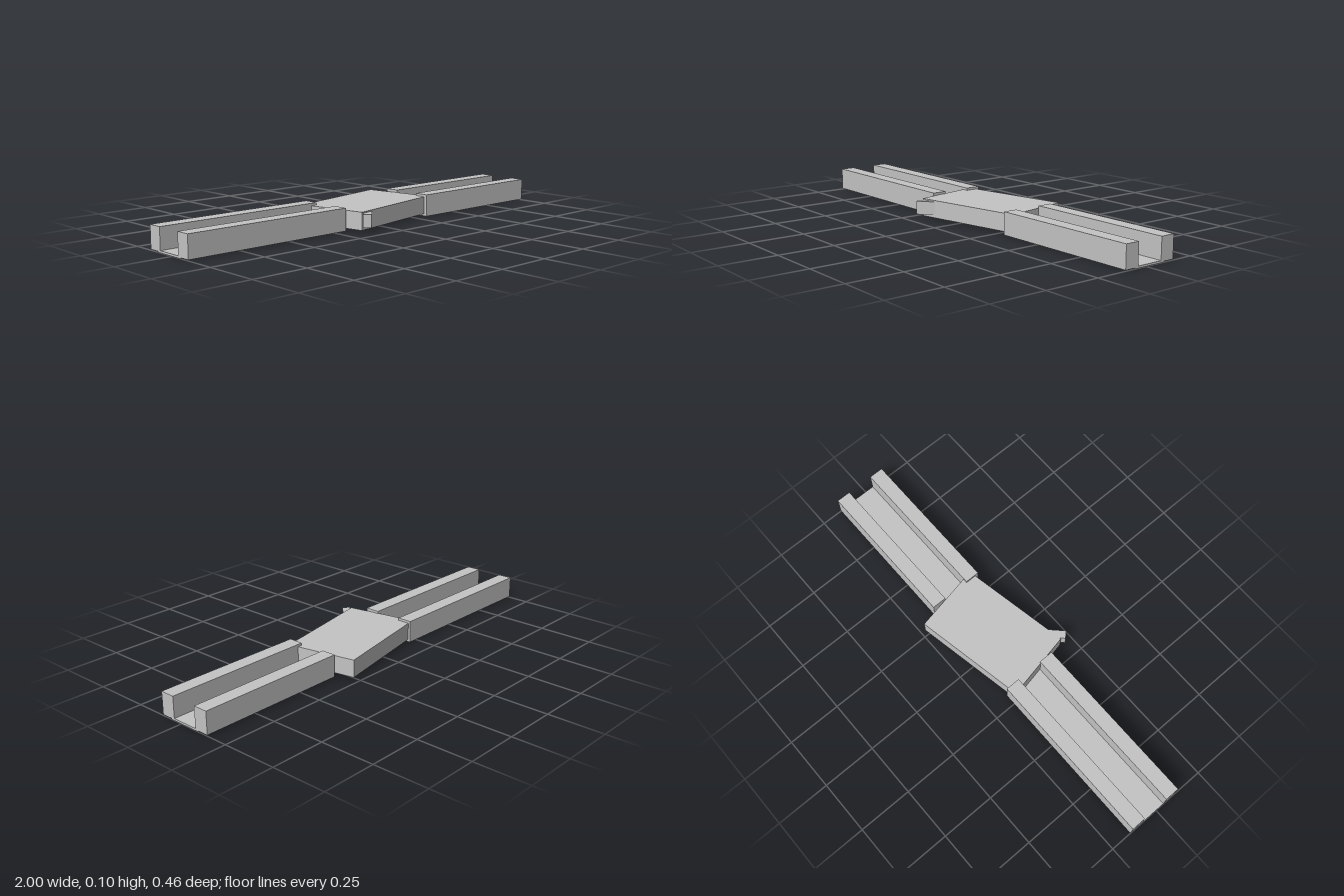
import * as THREE from 'three';

export function createModel() {
  const model = new THREE.Group();
  const grey = new THREE.MeshStandardMaterial({ color: 0xc4c4c4 });
  grey.name = 'light grey';

  // Box given by its min and max on each axis
  const addBox = (name, [x0, x1], [y0, y1], [z0, z1], parent = model) => {
    const mesh = new THREE.Mesh(new THREE.BoxGeometry(x1 - x0, y1 - y0, z1 - z0), grey);
    mesh.position.set((x0 + x1) / 2, (y0 + y1) / 2, (z0 + z1) / 2);
    mesh.name = name;
    parent.add(mesh);
    return mesh;
  };

  // Two U-shaped channels: a pair of rails on a thin floor plate
  for (const [side, xs] of [['right', [-1, -0.2]], ['left', [0.3, 1]]]) {
    const channel = new THREE.Group();
    channel.name = side + 'Channel';
    addBox('frontRail', xs, [0.004, 0.104], [0.041, 0.108], channel);
    addBox('backRail', xs, [0.004, 0.104], [-0.15, -0.083], channel);
    addBox('floorPlate', xs, [0, 0.009], [-0.1, 0.058], channel);
    model.add(channel);
  }

  // Turned centre block bridging the channels
  const block = addBox('centreBlock', [-0.259, 0.259], [0.014, 0.093], [-0.161, 0.161]);
  block.position.x = 0.046;
  block.position.z = -0.023;
  block.rotation.y = THREE.MathUtils.degToRad(10.9);

  // Small tab set at 45 degrees on the block's front corner
  const tab = addBox('cornerTab', [-0.055, 0.055], [0.029, 0.087], [-0.018, 0.018]);
  tab.position.x = -0.137;
  tab.position.z = 0.177;
  tab.rotation.y = Math.PI / 4;

  return model;
}
